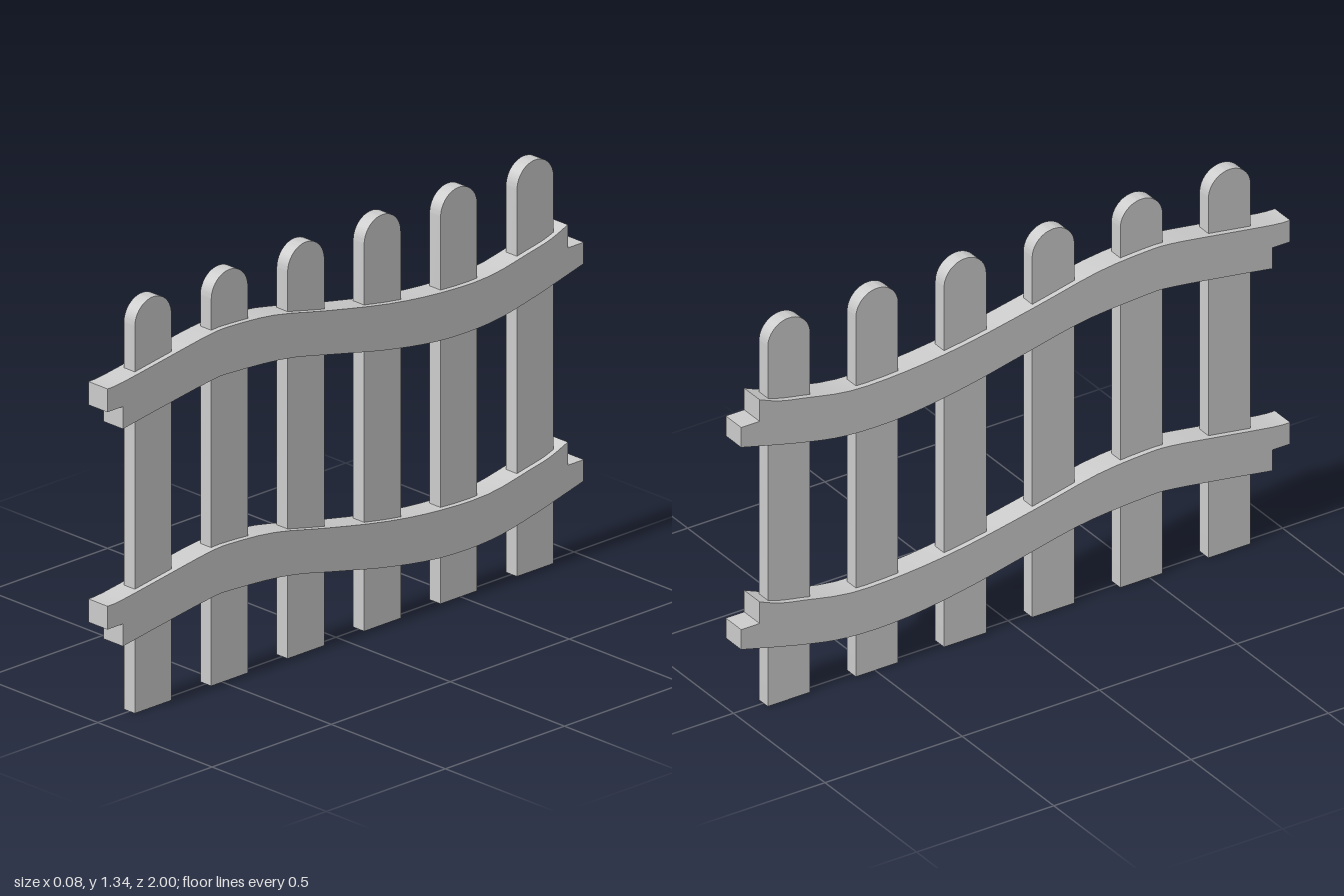
import * as THREE from 'three';
import { toCreasedNormals } from 'three/addons/utils/BufferGeometryUtils.js';

const material = new THREE.MeshStandardMaterial({ color: 0xcccccc });

// Extrude a (z, y) outline to a board centred on x = 0
function board(name, shape, thickness) {
  const geo = new THREE.ExtrudeGeometry(shape, { depth: thickness, bevelEnabled: false, curveSegments: 16 });
  geo.translate(0, 0, -thickness / 2);
  geo.rotateY(-Math.PI / 2);
  const mesh = new THREE.Mesh(toCreasedNormals(geo, 0.5), material);
  mesh.name = name;
  return mesh;
}

const smooth = (pts) => new THREE.SplineCurve(pts.map(([z, y]) => new THREE.Vector2(z, y))).getPoints(36);

// Upright board with a semicircular top
function picketShape(half, height) {
  const s = new THREE.Shape();
  s.moveTo(-half, 0);
  s.lineTo(half, 0);
  s.lineTo(half, height - half);
  s.absarc(0, height - half, half, 0, Math.PI, false);
  s.closePath();
  return s;
}

// Wavy rail with a half-lap notch at each end
function railShape() {
  const lower = smooth([[-1, 0.954], [-0.77, 0.897], [-0.6, 0.869], [-0.4, 0.87], [-0.18, 0.901],
    [0.03, 0.946], [0.25, 0.992], [0.48, 1.01], [0.57, 1.007], [0.78, 0.977], [0.935, 0.953]]);
  const upper = smooth([[1, 1.102], [0.935, 1.106], [0.71, 1.14], [0.57, 1.16], [0.48, 1.163], [0.3, 1.148],
    [0.075, 1.1], [-0.18, 1.051], [-0.4, 1.026], [-0.6, 1.023], [-0.77, 1.053], [-0.86, 1.072], [-0.933, 1.1]]);
  const v = (z, y) => new THREE.Vector2(z, y);
  return new THREE.Shape([
    ...lower, v(0.935, 1.026), v(1, 1.026),
    ...upper, v(-0.933, 1.024), v(-1, 1.024),
  ]);
}

export function createModel() {
  const fence = new THREE.Group();
  fence.name = 'picketFence';

  // Six pickets in a row along z
  for (let i = 0; i < 6; i++) {
    const picket = board('picket' + (i + 1), picketShape(0.077, 1.34), 0.048);
    picket.position.z = 0.791 - i * 0.321;
    fence.add(picket);
  }

  // Two identical rails
  const rail = railShape();
  const upperRail = board('upperRail', rail, 0.084);
  const lowerRail = board('lowerRail', rail, 0.084);
  lowerRail.position.y = -0.71;
  fence.add(upperRail, lowerRail);

  return fence;
}
